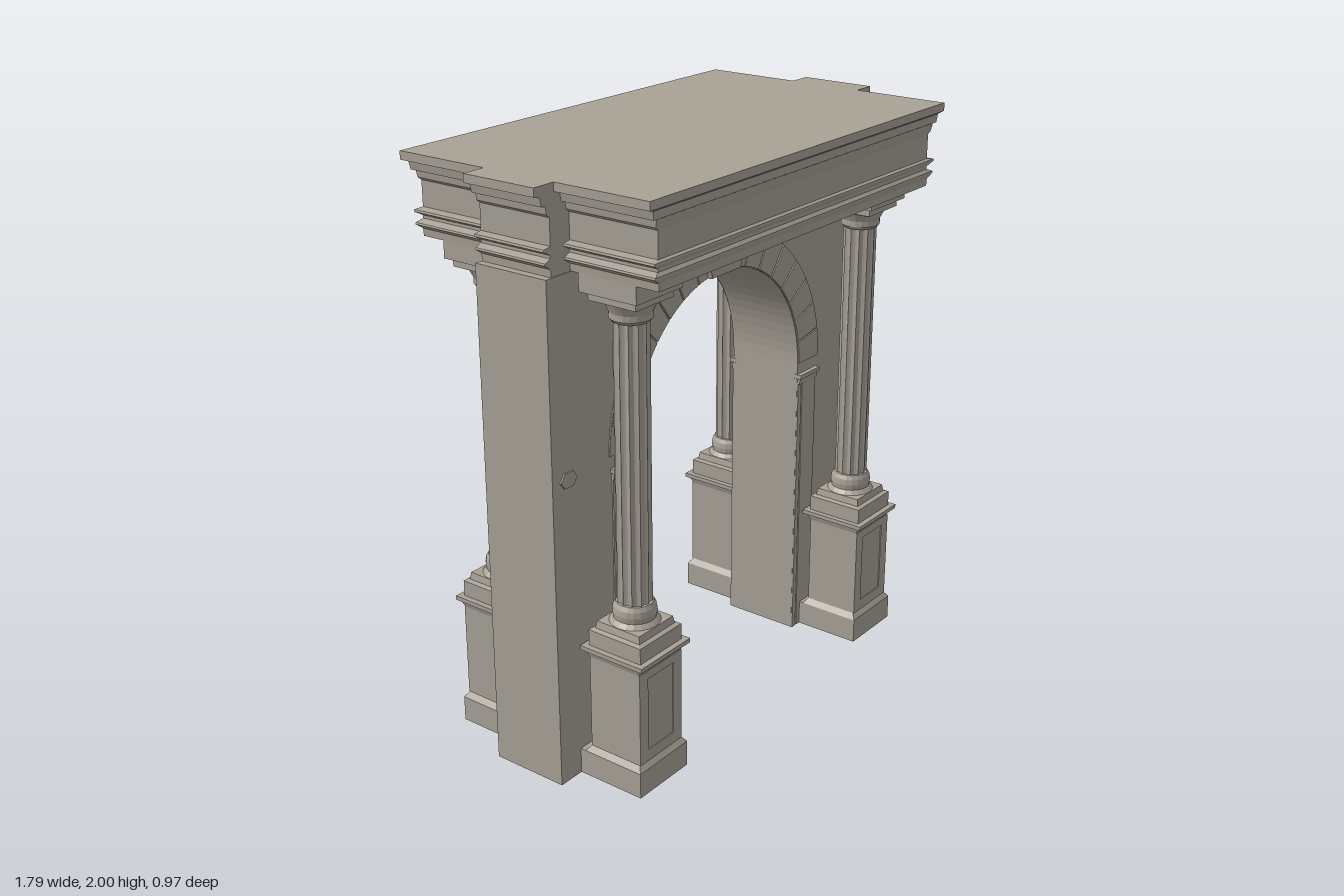
import * as THREE from 'three';

const stone = new THREE.MeshStandardMaterial({ color: 0xcccccc, flatShading: true });
stone.color.set(0xa8a196);

function add(parent, name, geometry, x = 0, y = 0, z = 0) {
  const mesh = new THREE.Mesh(geometry, stone);
  mesh.name = name;
  mesh.position.set(x, y, z);
  parent.add(mesh);
  return mesh;
}

// Closed rectangular moulding from sections [y, half width, half depth]
function rectLoft(sections) {
  const pos = [];
  const rings = sections.map(([y, w, d]) => [[-w, y, d], [w, y, d], [w, y, -d], [-w, y, -d]]);
  const quad = (a, b, c, d) => pos.push(...a, ...b, ...c, ...a, ...c, ...d);
  for (let i = 0; i < rings.length - 1; i++) {
    for (let k = 0; k < 4; k++) {
      const n = (k + 1) % 4;
      quad(rings[i][k], rings[i][n], rings[i + 1][n], rings[i + 1][k]);
    }
  }
  const b = rings[0], t = rings[rings.length - 1];
  quad(b[3], b[2], b[1], b[0]);
  quad(t[0], t[1], t[2], t[3]);
  const g = new THREE.BufferGeometry();
  g.setAttribute('position', new THREE.Float32BufferAttribute(pos, 3));
  g.computeVertexNormals();
  return g;
}

function polygon(points) {
  return new THREE.Shape(points.map(([x, y]) => new THREE.Vector2(x, y)));
}

function extrude(shape, depth, curveSegments = 12) {
  return new THREE.ExtrudeGeometry(shape, { depth, bevelEnabled: false, curveSegments });
}

const R = 0.465, SPRING = 1.07, WALL = 0.14;

// Shallow fluted column shaft
function flutedShaft(radius, height) {
  const pts = [];
  const flutes = 12, steps = 4;
  for (let i = 0; i < flutes * steps; i++) {
    const a = (i / (flutes * steps)) * Math.PI * 2;
    const r = radius - 0.008 * Math.sin(((i % steps) / steps) * Math.PI);
    pts.push([Math.cos(a) * r, Math.sin(a) * r]);
  }
  return extrude(polygon(pts), height).rotateX(-Math.PI / 2);
}

function lathe(points) {
  return new THREE.LatheGeometry(points.map(([r, y]) => new THREE.Vector2(r, y)), 20);
}

// Pedestal, column and capital, centred on its own axis
function createColumn() {
  const g = new THREE.Group();
  add(g, 'pedestal', rectLoft([
    [0, 0.123, 0.115], [0.09, 0.123, 0.115], [0.11, 0.108, 0.1], [0.44, 0.108, 0.1],
    [0.46, 0.115, 0.11], [0.465, 0.125, 0.125], [0.48, 0.125, 0.125],
  ]));
  add(g, 'pedestalFoot', new THREE.BoxGeometry(0.246, 0.09, 0.04), 0, 0.045, -0.12);

  // Raised frame around the pedestal panel
  const frame = polygon([[-0.108, 0.11], [0.108, 0.11], [0.108, 0.44], [-0.108, 0.44]]);
  frame.holes.push(polygon([[-0.065, 0.15], [-0.065, 0.41], [0.065, 0.41], [0.065, 0.15]]));
  add(g, 'pedestalFrame', extrude(frame, 0.005), 0, 0, 0.0985);

  add(g, 'columnPlinth', rectLoft([
    [0.48, 0.105, 0.105], [0.535, 0.105, 0.105], [0.54, 0.09, 0.09], [0.565, 0.086, 0.086],
  ]));
  add(g, 'columnBase', lathe([
    [0.084, 0.565], [0.075, 0.575], [0.07, 0.58], [0.073, 0.6], [0.07, 0.62], [0.062, 0.635], [0, 0.635],
  ]));
  add(g, 'columnShaft', flutedShaft(0.058, 0.95), 0, 0.63, 0);
  add(g, 'columnNeck', lathe([
    [0, 1.57], [0.06, 1.57], [0.068, 1.58], [0.068, 1.6], [0.075, 1.615], [0.088, 1.64], [0, 1.64],
  ]));
  add(g, 'capital', rectLoft([
    [1.63, 0.078, 0.078], [1.635, 0.09, 0.09], [1.66, 0.09, 0.09], [1.662, 0.109, 0.109], [1.72, 0.109, 0.109],
  ]));
  return g;
}

// Trim on one face of the wall: arch stones, keystone, imposts and bosses
function createFaceTrim() {
  const g = new THREE.Group();
  const count = 17, gap = 0.006;
  for (let i = 0; i < count; i++) {
    if (i === (count - 1) / 2) continue;
    const a = (i / count) * Math.PI + gap, b = ((i + 1) / count) * Math.PI - gap;
    const s = new THREE.Shape();
    s.absarc(0, SPRING, R + 0.125, a, b, false);
    s.absarc(0, SPRING, R + 0.003, b, a, true);
    add(g, 'archStone', extrude(s, 0.006, 3), 0, 0, WALL - 0.001);
  }
  add(g, 'keystone', new THREE.ExtrudeGeometry(
    polygon([[-0.073, 1.538], [0.073, 1.538], [0.11, 1.652], [-0.11, 1.652]]),
    { depth: 0.02, bevelThickness: 0.006, bevelSize: 0.008, bevelSegments: 2 },
  ), 0, 0, WALL - 0.002);

  for (const s of [-1, 1]) {
    // Jamb pilaster with a narrow groove
    add(g, 'jambEdge', new THREE.BoxGeometry(0.02, 1, 0.006), s * 0.476, 0.5, WALL + 0.002);
    add(g, 'jambPilaster', new THREE.BoxGeometry(0.085, 1, 0.006), s * 0.5345, 0.5, WALL + 0.002);
    add(g, 'impost', rectLoft([
      [0.99, 0.056, 0.006], [1.012, 0.056, 0.01], [1.015, 0.06, 0.016], [1.03, 0.06, 0.016],
    ]), s * 0.523, 0, WALL + 0.002);
    // Small hexagonal boss
    add(g, 'boss', extrude(polygon([
      [0.038, 0], [0.02, 0.025], [-0.02, 0.025], [-0.038, 0], [-0.02, -0.025], [0.02, -0.025],
    ]), 0.006), s * 0.785, 1.065, WALL - 0.001);
  }
  return g;
}

export function createModel() {
  const model = new THREE.Group();
  model.name = 'triumphalArch';

  // Wall with the arched opening
  const wall = polygon([[-0.857, 0], [-R, 0], [-R, SPRING]]);
  wall.absarc(0, SPRING, R, Math.PI, 0, true);
  wall.lineTo(R, 0);
  wall.lineTo(0.857, 0);
  wall.lineTo(0.857, 1.72);
  wall.lineTo(-0.857, 1.72);
  add(model, 'wall', extrude(wall, WALL * 2, 20), 0, 0, -WALL);

  // Entablature: [y, half width of the end projections, half depth of the main block]
  const profile = [
    [1.72, 0.83, 0.468], [1.745, 0.832, 0.468], [1.762, 0.857, 0.475], [1.768, 0.855, 0.475],
    [1.778, 0.832, 0.465], [1.788, 0.832, 0.465], [1.803, 0.86, 0.475], [1.81, 0.858, 0.475],
    [1.815, 0.83, 0.465], [1.9, 0.83, 0.465], [1.91, 0.842, 0.468], [1.935, 0.846, 0.472],
    [1.937, 0.862, 0.476], [1.965, 0.868, 0.478], [1.972, 0.893, 0.487], [2, 0.893, 0.487],
  ];
  add(model, 'entablature', rectLoft(profile.map(([y, w, d]) => [y, w - 0.085, d])));
  add(model, 'endProjections', rectLoft(profile.map(([y, w]) => [y, w, 0.137])));

  // Columns and face trim, front and back
  for (const back of [false, true]) {
    const side = new THREE.Group();
    side.name = back ? 'backFace' : 'frontFace';
    for (const s of [-1, 1]) {
      const column = createColumn();
      column.name = s > 0 ? 'leftColumn' : 'rightColumn';
      column.position.set(s * 0.636, 0, 0.275);
      side.add(column);
    }
    const trim = createFaceTrim();
    trim.name = 'faceTrim';
    side.add(trim);
    if (back) side.rotation.y = Math.PI;
    model.add(side);
  }
  return model;
}
